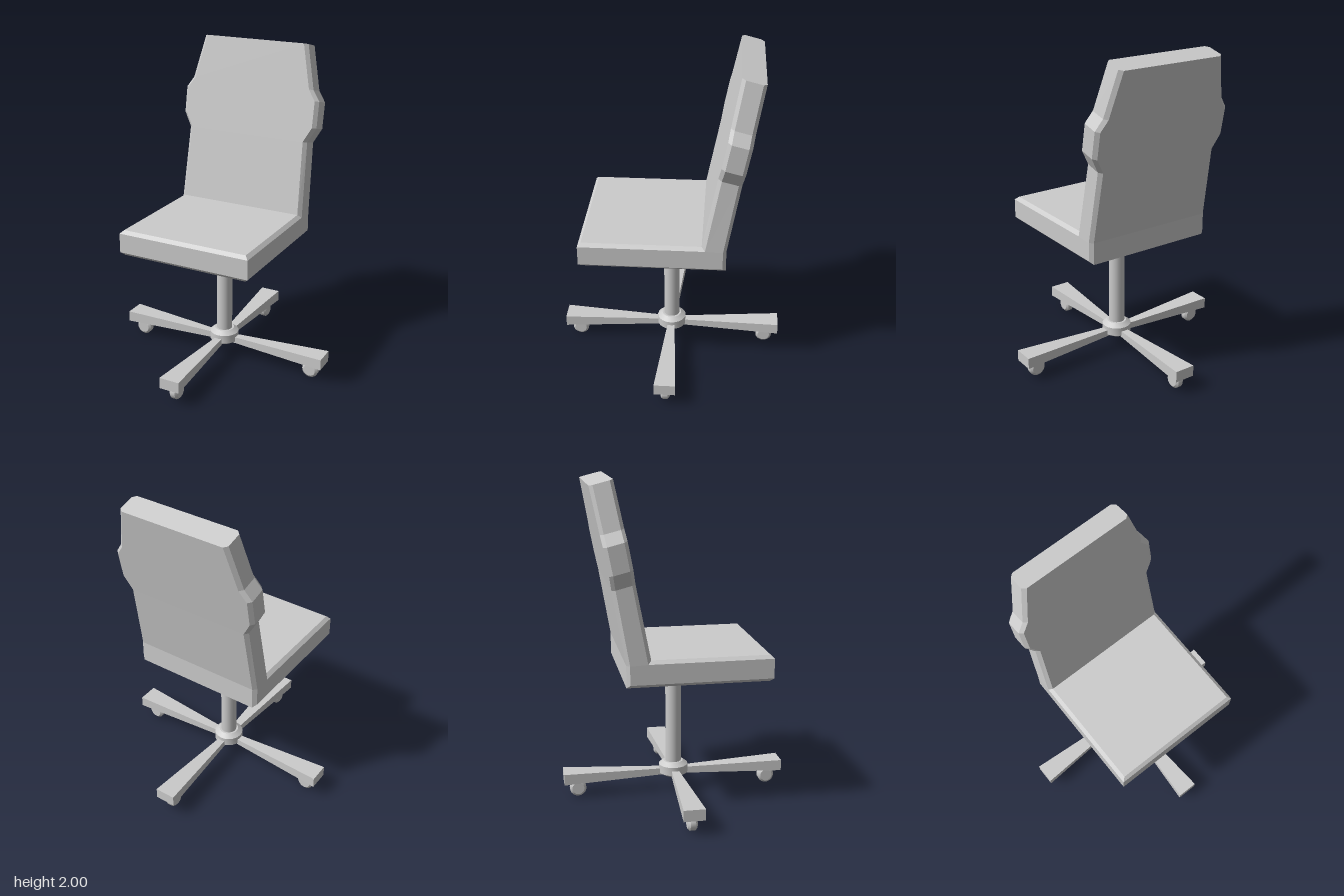
import * as THREE from 'three';
import { toCreasedNormals } from 'three/addons/utils/BufferGeometryUtils.js';

const material = new THREE.MeshStandardMaterial({ color: 0xcccccc });

function part(name, geometry) {
  const mesh = new THREE.Mesh(geometry, material);
  mesh.name = name;
  return mesh;
}

// Skin a list of eight-point rings with flat quads and close both ends.
function loft(rings) {
  const pos = [];
  const quad = (a, b, c, d) => pos.push(...a, ...b, ...c, ...a, ...c, ...d);
  for (let i = 0; i < rings.length - 1; i++) {
    const r = rings[i], s = rings[i + 1];
    for (let j = 0; j < 8; j++) {
      const k = (j + 1) % 8;
      quad(r[j], r[k], s[k], s[j]);
    }
  }
  const first = rings[0], last = rings[rings.length - 1];
  for (let k = 0; k < 3; k++) {
    quad(first[7 - k], first[6 - k], first[k + 1], first[k]);
    quad(last[k], last[k + 1], last[6 - k], last[7 - k]);
  }
  const g = new THREE.BufferGeometry();
  g.setAttribute('position', new THREE.Float32BufferAttribute(pos, 3));
  g.computeVertexNormals();
  return g;
}

// Chamfered cross-section: half width w and four [z, y] points, padded face to rear face.
function section(w, points) {
  const chamfer = 0.022;
  const widths = [w - chamfer, w, w, w - chamfer];
  const right = points.map(([z, y], i) => [widths[i], y, z]);
  const left = right.map(([x, y, z]) => [-x, y, z]).reverse();
  return [...right, ...left];
}

// Section of the leaning backrest at height y of its front face.
function backSection(y, w) {
  const z = -0.2 - (y - 0.975) * 0.19;
  return section(w, [0, 0.15, 0.85, 1].map(t => [z - 0.136 * t, y - 0.035 * t]));
}

// Seat and backrest are one continuous L-shaped cushion.
function cushion() {
  return loft([
    section(0.425, [[0.51, 0.975], [0.53, 0.955], [0.53, 0.835], [0.51, 0.815]]),
    section(0.425, [[-0.2, 0.975], [-0.22, 0.955], [-0.325, 0.835], [-0.345, 0.815]]),
    section(0.425, [[-0.2, 0.975], [-0.22, 0.955], [-0.325, 0.95], [-0.345, 0.95]]),
    backSection(1.42, 0.41),
    backSection(1.51, 0.46),
    backSection(1.67, 0.46),
    backSection(1.735, 0.415),
    backSection(2.0, 0.352),
  ]);
}

// Foot bar pointing along +z, wider and deeper towards its tip.
function legGeometry() {
  const g = new THREE.BoxGeometry(1, 1, 1);
  const p = g.attributes.position;
  for (let i = 0; i < p.count; i++) {
    const tip = p.getZ(i) > 0, top = p.getY(i) > 0;
    p.setXYZ(i,
      Math.sign(p.getX(i)) * (tip ? 0.065 : 0.022),
      tip ? (top ? 0.165 : 0.095) : (top ? 0.147 : 0.107),
      tip ? 0.7 : 0.06);
  }
  g.computeVertexNormals();
  return g;
}

function lathe(profile, segments) {
  const points = profile.map(([r, y]) => new THREE.Vector2(r, y));
  return toCreasedNormals(new THREE.LatheGeometry(points, segments), 0.6);
}

export function createModel() {
  const group = new THREE.Group();
  group.add(part('seatAndBackrest', cushion()));

  // Central column
  const post = part('post', new THREE.CylinderGeometry(0.05, 0.05, 0.71, 20));
  post.position.y = 0.465;
  group.add(post);
  group.add(part('hub', lathe(
    [[0, 0.1], [0.065, 0.1], [0.092, 0.118], [0.092, 0.172], [0.062, 0.195], [0, 0.195]], 20)));

  // Four legs, each with a rolling wheel
  const leg = legGeometry();
  const wheel = lathe(
    [[0, -0.028], [0.038, -0.028], [0.052, -0.016], [0.052, 0.016], [0.038, 0.028], [0, 0.028]], 20);
  for (let i = 0; i < 4; i++) {
    const arm = new THREE.Group();
    arm.name = 'legWithCaster';
    arm.rotation.y = i * Math.PI / 2;
    const caster = part('caster', wheel);
    caster.rotation.z = Math.PI / 2;
    caster.position.set(0, 0.052, 0.612);
    arm.add(part('leg', leg), caster);
    group.add(arm);
  }
  return group;
}
